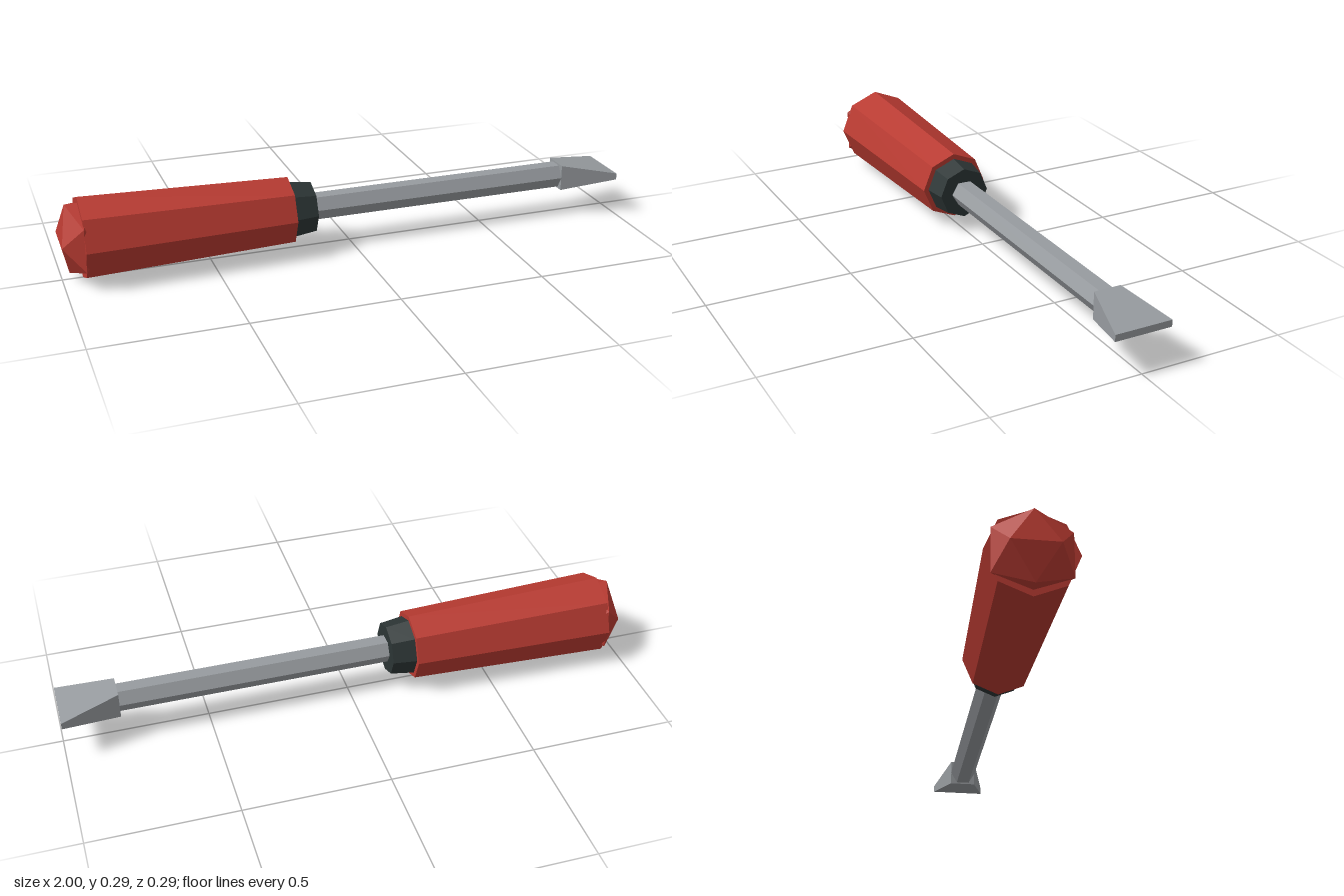
import * as THREE from 'three';

const AXIS_Y = 0.143; // height of the tool's long axis

function material(name, color) {
  const m = new THREE.MeshStandardMaterial({ color, flatShading: true });
  m.name = name;
  return m;
}

export function createModel() {
  const group = new THREE.Group();
  group.name = 'screwdriver';
  const red = material('red plastic', 0xb83a31);
  const black = material('dark rubber', 0x2c3535);
  const steel = material('steel', 0x979b9f);

  function add(name, geometry, mat, x) {
    const mesh = new THREE.Mesh(geometry, mat);
    mesh.name = name;
    mesh.position.set(x, AXIS_Y, 0);
    group.add(mesh);
  }

  // Faceted rod along x, from x0 (radius r0) to x1 (radius r1)
  function rod(name, x0, x1, r0, r1, sides, mat) {
    const g = new THREE.CylinderGeometry(r1, r0, x1 - x0, sides);
    g.rotateZ(-Math.PI / 2);
    add(name, g, mat, (x0 + x1) / 2);
  }

  rod('handle', -0.932, -0.222, 0.143, 0.12, 8, red);
  rod('collar', -0.222, -0.14, 0.102, 0.091, 8, black);
  rod('shaft', -0.14, 0.81, 0.047, 0.047, 6, steel);

  // Pommel: flattened icosahedron in the butt of the handle
  const pommel = new THREE.IcosahedronGeometry(0.143, 0);
  pommel.scale(0.56, 1, 1);
  add('pommel', pommel, red, -0.932);

  // Blade: square at the shaft, flaring wide and thin at the end
  const blade = new THREE.BoxGeometry(0.198, 0.093, 0.093);
  const p = blade.attributes.position;
  for (let i = 0; i < p.count; i++) {
    if (p.getX(i) > 0) {
      p.setY(i, Math.sign(p.getY(i)) * 0.0115);
      p.setZ(i, Math.sign(p.getZ(i)) * 0.098);
    }
  }
  blade.computeVertexNormals();
  add('blade', blade, steel, 0.901);

  return group;
}
